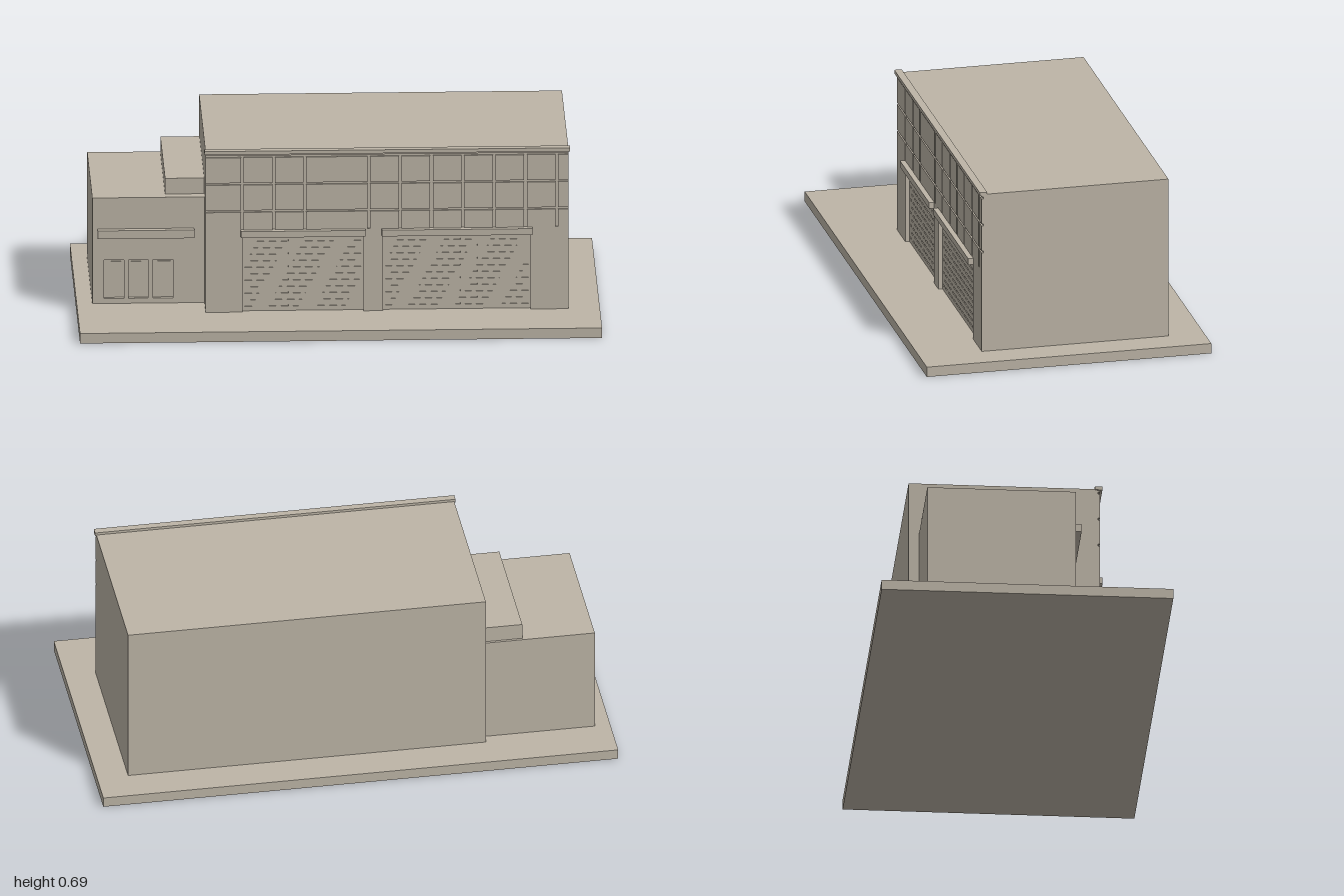
import * as THREE from 'three';

const stone = new THREE.MeshStandardMaterial({ color: 0xbdb5a7 });
stone.name = 'warm stone';

export function createModel() {
  const model = new THREE.Group();
  model.name = 'garageBuilding';

  function add(name, geometry, parent = model) {
    const mesh = new THREE.Mesh(geometry, stone);
    mesh.name = name;
    parent.add(mesh);
    return mesh;
  }
  // Box given by its lower and upper limits on each axis
  function box(name, x0, x1, y0, y1, z0, z1, parent) {
    const g = new THREE.BoxGeometry(x1 - x0, y1 - y0, z1 - z0);
    g.translate((x0 + x1) / 2, (y0 + y1) / 2, (z0 + z1) / 2);
    return add(name, g, parent);
  }
  function rectPoints(x0, x1, y0, y1) {
    return [[x0, y0], [x1, y0], [x1, y1], [x0, y1]].map(([x, y]) => new THREE.Vector2(x, y));
  }
  // Flat panel in the xy plane with an outline, holes and a z range
  function panel(name, outline, holes, z0, z1, parent) {
    const shape = new THREE.Shape(outline);
    for (const h of holes) shape.holes.push(new THREE.Path(h));
    const g = new THREE.ExtrudeGeometry(shape, { depth: z1 - z0, bevelEnabled: false });
    g.translate(0, 0, z0);
    return add(name, g, parent);
  }

  box('groundSlab', -1, 1, 0, 0.04, -0.56, 0.56);

  // Main hall: core, then facade layers notched by the two door openings
  const left = -0.51, right = 0.88, floor = 0.04, roof = 0.68;
  const doors = [[-0.37, 0.095], [0.17, 0.735]];
  const doorTop = 0.345;
  box('hallCore', left, right, floor, roof, -0.42, 0.295);

  function notchedOutline(top) {
    const p = [[left, floor]];
    for (const [a, b] of doors) p.push([a, floor], [a, doorTop], [b, doorTop], [b, floor]);
    p.push([right, floor], [right, top], [left, top]);
    return p.map(([x, y]) => new THREE.Vector2(x, y));
  }
  panel('facadeBacking', notchedOutline(roof), [], 0.295, 0.308);
  panel('lowerFacade', notchedOutline(0.37), [], 0.308, 0.315);

  // Upper facade tiles separated by narrow grooves
  const tiles = new THREE.Group();
  tiles.name = 'facadeTiles';
  model.add(tiles);
  const seams = [-0.37, -0.25, -0.13, 0.115, 0.235, 0.355, 0.475, 0.595, 0.715, 0.835];
  const half = 0.005;
  const edges = [left - half, ...seams, right + half];
  for (const [y0, y1] of [[0.37, 0.441], [0.449, 0.551], [0.559, 0.661]]) {
    for (let i = 0; i < edges.length - 1; i++) {
      box('facadeTile', edges[i] + half, edges[i + 1] - half, y0, y1, 0.308, 0.315, tiles);
    }
  }
  box('topBand', left, right, 0.669, roof, 0.308, 0.315);
  box('roofTrim', -0.515, 0.885, 0.676, 0.69, 0.295, 0.324);

  // Roller doors with staggered slots, each under a projecting lintel
  for (const [a, b] of doors) {
    const slots = [];
    const columns = Math.round((b - a) / 0.045);
    const pitch = (b - a) / columns;
    for (let row = 0; row < 11; row++) {
      const y = 0.058 + row * 0.026;
      const shift = row % 2 ? pitch / 2 : 0;
      for (let c = 0; c < columns - (row % 2); c++) {
        const x = a + c * pitch + pitch * 0.2 + shift;
        slots.push(rectPoints(x, x + pitch * 0.6, y, y + 0.006).reverse());
      }
    }
    panel('rollerDoor', rectPoints(a, b, floor, doorTop), slots, 0.294, 0.299);
    box('doorLintel', a - 0.006, b + 0.006, doorTop, 0.37, 0.3, 0.335);
  }

  // Side wing with a front wall pierced by three windows
  box('wingCore', -0.94, left, floor, 0.465, -0.38, 0.175);
  const windows = [-0.895, -0.802, -0.707].map((x) => [x, x + 0.076]);
  panel('wingFront', rectPoints(-0.94, left, floor, 0.465),
    windows.map(([a, b]) => rectPoints(a, b, 0.06, 0.215).reverse()), 0.175, 0.19);
  for (const [a, b] of windows) {
    box('windowPane', a + 0.01, b - 0.01, 0.07, 0.205, 0.174, 0.179);
  }
  box('wingCanopy', -0.92, -0.55, 0.307, 0.34, 0.18, 0.214);
  box('wingRoofBox', -0.66, left, 0.465, 0.528, -0.37, 0.15);

  return model;
}
